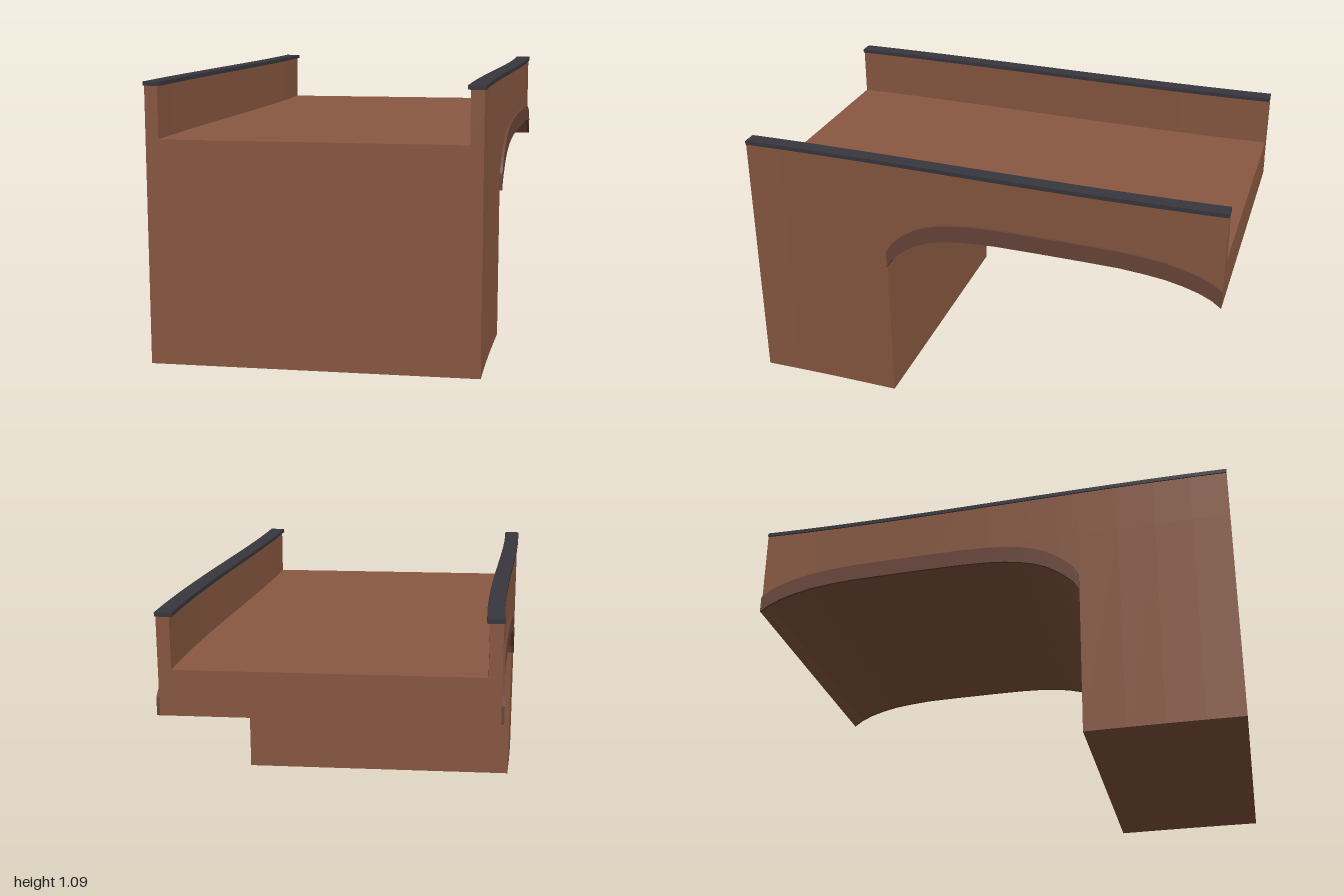
import * as THREE from 'three';

const HALF = 0.633;      // half width of the bridge
const DECK = 0.87;       // road level
const SPRING = 0.385;    // z where the arch leaves the abutment

// Underside of the arch as [z, y], from abutment to free end
const ARCH = [
  [SPRING, 0.61], [0.365, 0.645], [0.34, 0.67], [0.3, 0.703], [0.25, 0.735], [0.2, 0.756],
  [0.14, 0.773], [0.07, 0.785], [0, 0.793], [-0.1, 0.798], [-0.25, 0.8], [-0.45, 0.8],
  [-0.6, 0.798], [-0.7, 0.79], [-0.78, 0.78], [-0.85, 0.764], [-0.91, 0.745], [-0.96, 0.722], [-1, 0.693],
];
const ABUTMENT_Z = [1, 0.85, 0.7, 0.55, SPRING];
const ALL_Z = [...ABUTMENT_Z, ...ARCH.slice(1).map((p) => p[0])];

// Gentle S-bend of the bridge's centre line
const bend = (z) => -0.068 * z - 0.005 * z * z + 0.02 * z ** 3;

// Lofts a rectangular section x0..x1 along stations [z, bottom, top], following the bend
function loft(x0, x1, stations) {
  const rings = stations.map(([z, b, t]) => {
    const c = bend(z);
    return [[c + x0, b, z], [c + x1, b, z], [c + x1, t, z], [c + x0, t, z]];
  });
  const pos = [];
  const quad = (a, b, c, d) => pos.push(...a, ...b, ...c, ...a, ...c, ...d);
  quad(...rings[0]);
  for (let i = 0; i < rings.length - 1; i++) {
    const A = rings[i], B = rings[i + 1];
    for (let j = 0; j < 4; j++) {
      const k = (j + 1) % 4;
      quad(A[j], B[j], B[k], A[k]);
    }
  }
  quad(...[...rings[rings.length - 1]].reverse());
  const g = new THREE.BufferGeometry();
  g.setAttribute('position', new THREE.Float32BufferAttribute(pos, 3));
  g.computeVertexNormals();
  return g;
}

export function createModel() {
  const group = new THREE.Group();
  const brick = new THREE.MeshStandardMaterial({ name: 'brick', color: 0x8a5942 });
  const darkBrick = new THREE.MeshStandardMaterial({ name: 'darkBrick', color: 0x6b463a });
  const slate = new THREE.MeshStandardMaterial({ name: 'slate', color: 0x37373e });

  const add = (name, geometry, material) => {
    const mesh = new THREE.Mesh(geometry, material);
    mesh.name = name;
    group.add(mesh);
  };

  // Solid abutment and the arched span
  add('abutment', loft(-HALF, HALF, ABUTMENT_Z.map((z) => [z, 0, DECK])), brick);
  add('archSpan', loft(-HALF, HALF, ARCH.map(([z, y]) => [z, y, DECK])), brick);

  // Parapet, coping and arch ring on both sides
  for (const [side, s] of [['left', 1], ['right', -1]]) {
    const strip = (inner, outer, stations) =>
      loft(Math.min(s * inner, s * outer), Math.max(s * inner, s * outer), stations);
    add(side + 'Parapet', strip(HALF - 0.05, HALF, ALL_Z.map((z) => [z, DECK, 1.07])), brick);
    add(side + 'Coping', strip(HALF - 0.061, HALF + 0.005, ALL_Z.map((z) => [z, 1.07, 1.086])), slate);
    add(side + 'ArchRing', strip(HALF, HALF + 0.011, ARCH.map(([z, y]) => [z, y, y + 0.07])), darkBrick);
  }
  return group;
}
